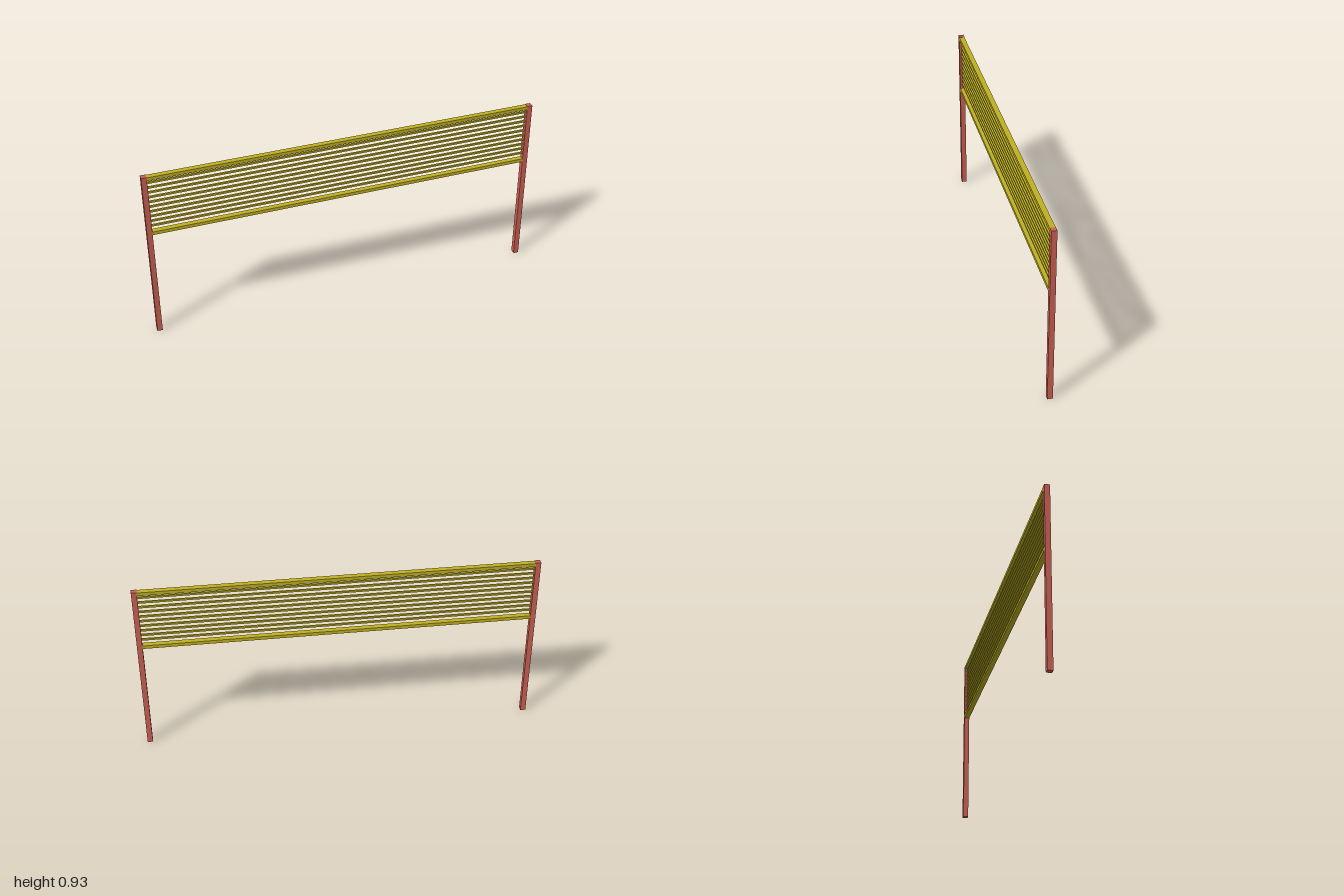
import * as THREE from 'three';

const HEIGHT = 0.927;
const POST = 0.027;
const SPAN = 2 - 2 * POST;

export function createModel() {
  const model = new THREE.Group();
  model.name = 'netFence';
  const red = new THREE.MeshStandardMaterial({ color: 0xcc6154 });
  const yellow = new THREE.MeshStandardMaterial({ color: 0xbfb022 });

  function addBox(name, material, size, x, y) {
    const mesh = new THREE.Mesh(new THREE.BoxGeometry(...size), material);
    mesh.name = name;
    mesh.position.set(x, y, 0);
    model.add(mesh);
  }

  // Square end posts
  for (const [name, side] of [['leftPost', 1], ['rightPost', -1]]) {
    addBox(name, red, [POST, HEIGHT, POST], side * (1 - POST / 2), HEIGHT / 2);
  }

  // Flat rails bounding the net, the upper one just below the post tops
  const railHeight = 0.018;
  addBox('topRail', yellow, [SPAN, railHeight, POST], 0, HEIGHT - 0.002 - railHeight / 2);
  addBox('bottomRail', yellow, [SPAN, railHeight, POST], 0, 0.604);

  // Evenly spaced thin strands between the rails
  for (let i = 0; i < 10; i++) {
    addBox(`strand${i + 1}`, yellow, [SPAN, 0.009, 0.009], 0, 0.643 + i * 0.0273);
  }

  return model;
}
